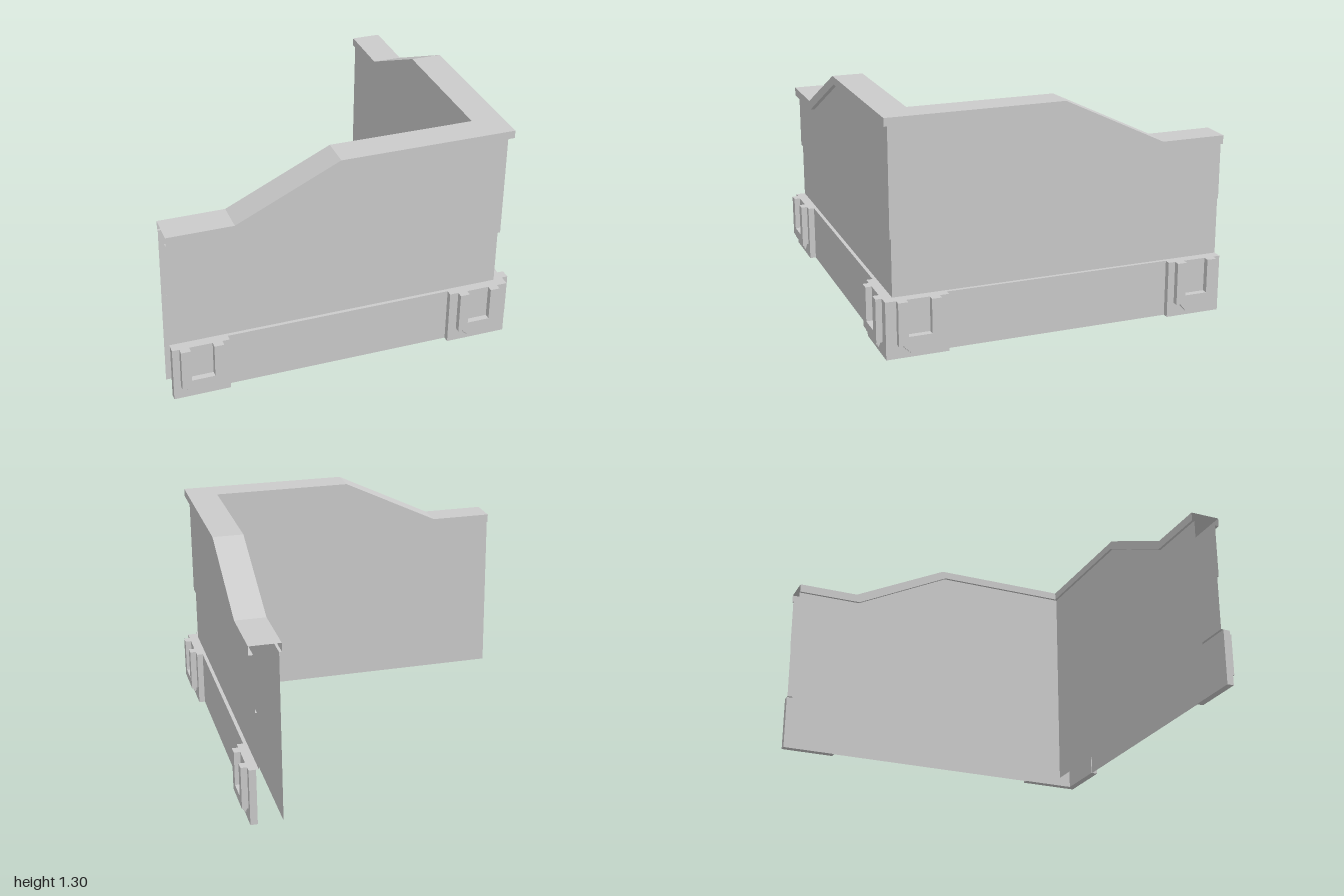
import * as THREE from 'three';

const material = new THREE.MeshStandardMaterial({ color: 0xcccccc, flatShading: true, side: THREE.DoubleSide });

// A rail runs the length of both walls: distance d from the centre, low and high
// heights, and the two places where the slope begins and ends.
const level = (d, y) => ({ d, low: y, high: y, k0: -0.62, k1: -0.04 });
const capTop = (d) => ({ d, low: 1.025, high: 1.305, k0: -0.63, k1: -0.05 });
const capUnder = (d) => ({ d, low: 0.975, high: 1.26, k0: -0.61, k1: -0.03 });

// Points of a rail along the front wall, round the mitred corner, along the side wall
function railPoints({ d, low, high, k0, k1 }) {
  const front = [[-1, low, d], [k0, low, d], [k1, high, d], [d, high, d]];
  const side = front.slice(0, 3).reverse().map(([x, y, z]) => [z, y, x]);
  return [...front, ...side];
}

// Surface swept through a series of rails
function sweep(name, rails) {
  const rows = rails.map(railPoints);
  const position = [];
  for (let r = 0; r < rows.length - 1; r++) {
    const a = rows[r], b = rows[r + 1];
    for (let i = 0; i < a.length - 1; i++) {
      position.push(...a[i], ...b[i], ...b[i + 1], ...a[i], ...b[i + 1], ...a[i + 1]);
    }
  }
  const geometry = new THREE.BufferGeometry();
  geometry.setAttribute('position', new THREE.Float32BufferAttribute(position, 3));
  geometry.computeVertexNormals();
  const mesh = new THREE.Mesh(geometry, material);
  mesh.name = name;
  return mesh;
}

function box(name, w, h, d, x, y, z) {
  const mesh = new THREE.Mesh(new THREE.BoxGeometry(w, h, d), material);
  mesh.name = name;
  mesh.position.set(x, y, z);
  return mesh;
}

function extrude(name, points, depth) {
  const shape = new THREE.Shape(points.map(([x, y]) => new THREE.Vector2(x, y)));
  const mesh = new THREE.Mesh(new THREE.ExtrudeGeometry(shape, { depth, bevelEnabled: false }), material);
  mesh.name = name;
  return mesh;
}

// U-shaped socket with a stepped wedge below it, facing +z
function makeBracket(x) {
  const bracket = new THREE.Group();
  bracket.name = 'bracket';
  const frame = extrude('bracketFrame', [
    [-0.12, 0.08], [0.12, 0.08], [0.12, 0.325], [0.065, 0.325],
    [0.065, 0.13], [-0.065, 0.13], [-0.065, 0.325], [-0.12, 0.325],
  ], 0.035);
  frame.position.z = 0.965;
  bracket.add(frame);
  for (let i = 0; i < 5; i++) {
    const depth = 0.031 - i * 0.006;
    bracket.add(box('wedgeStep', 0.18 - i * 0.02, 0.011, depth, 0, 0.0745 - i * 0.011, 0.965 + depth / 2));
  }
  bracket.position.x = x;
  return bracket;
}

export function createModel() {
  const model = new THREE.Group();
  model.name = 'cornerWall';

  // Hollow wall, open at both ends and underneath
  model.add(
    sweep('innerWall', [level(0.785, 0), capUnder(0.785)]),
    sweep('cap', [capUnder(0.785), capUnder(0.77), capTop(0.77), capTop(0.945), capUnder(0.945), capUnder(0.92)]),
    sweep('upperPanel', [capUnder(0.92), level(0.92, 0.65), level(0.91, 0.65)]),
    sweep('middlePanel', [level(0.91, 0.65), level(0.91, 0.325)]),
    sweep('base', [level(0.91, 0.325), level(0.93, 0.325), level(0.93, 0)]),
  );

  // L-shaped mounting plate around the corner
  const cornerPlate = extrude('cornerPlate', [
    [0.615, -0.965], [0.965, -0.965], [0.965, -0.615], [0.925, -0.615], [0.925, -0.925], [0.615, -0.925],
  ], 0.325);
  cornerPlate.rotation.x = -Math.PI / 2;
  model.add(cornerPlate);

  // End plate and two brackets on each wall
  for (const wall of ['front', 'left']) {
    const fittings = new THREE.Group();
    fittings.name = wall + 'Fittings';
    const s = wall === 'front' ? 1 : -1;
    fittings.add(
      box('endPlate', 0.32, 0.325, 0.04, -0.84 * s, 0.1625, 0.945),
      makeBracket(-0.84 * s),
      makeBracket(0.785 * s),
    );
    if (wall === 'left') fittings.rotation.y = Math.PI / 2;
    model.add(fittings);
  }
  return model;
}
